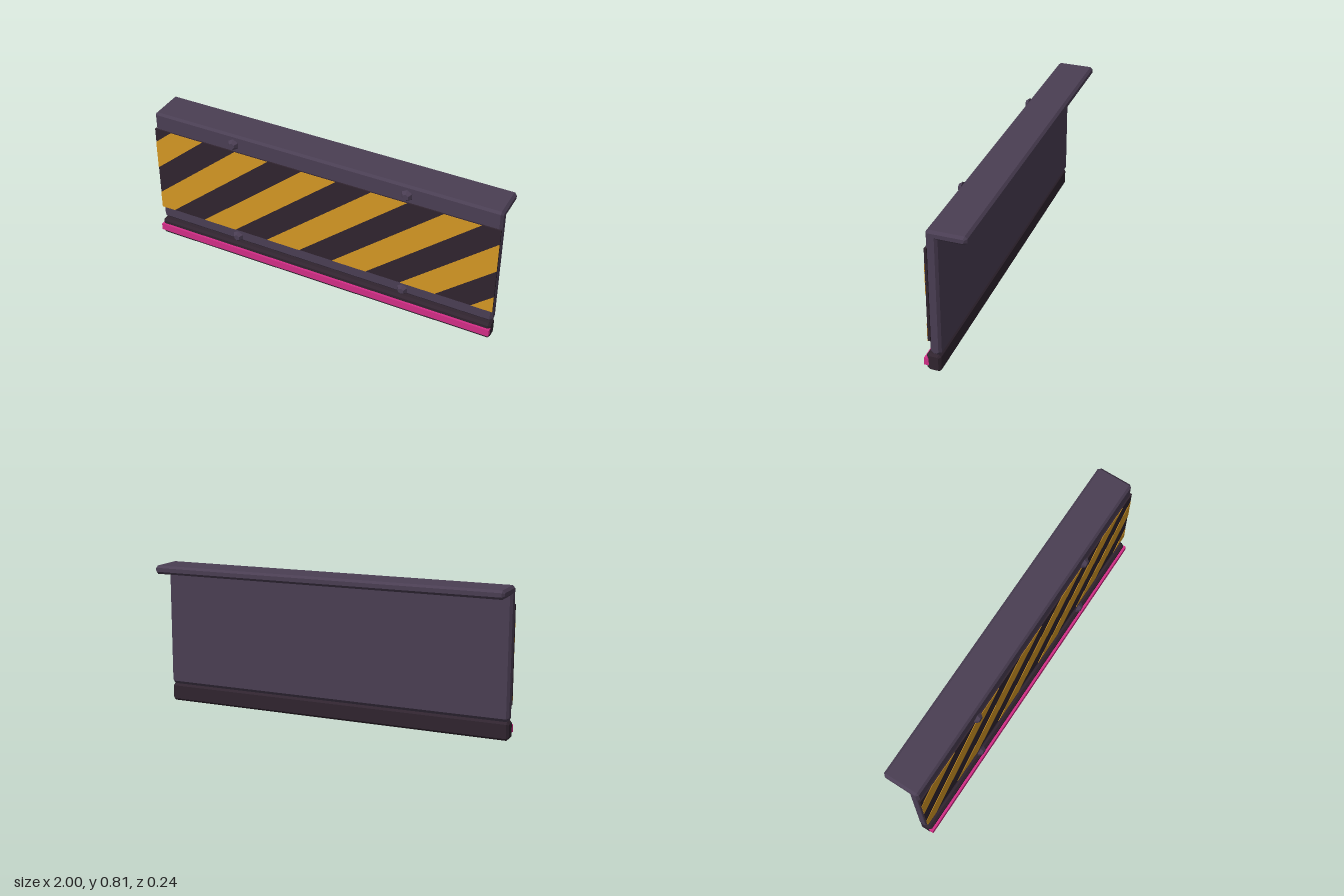
import * as THREE from 'three';

const material = (name, color) => {
  const m = new THREE.MeshStandardMaterial({ color });
  m.name = name;
  return m;
};

// Extrudes a (z, y) profile along x over the full width, with chamfered ends
function beam(name, profile, bevel, mat) {
  const shape = new THREE.Shape(profile.map(([z, y]) => new THREE.Vector2(-z, y)));
  const geo = new THREE.ExtrudeGeometry(shape, {
    depth: 2 - 2 * bevel, bevelEnabled: true, bevelSegments: 1,
    bevelSize: bevel, bevelThickness: bevel, bevelOffset: -bevel,
  });
  geo.translate(0, 0, bevel - 1).rotateY(Math.PI / 2);
  const mesh = new THREE.Mesh(geo, mat);
  mesh.name = name;
  return mesh;
}

function box(name, z0, z1, y0, y1, mat) {
  const mesh = new THREE.Mesh(new THREE.BoxGeometry(2, y1 - y0, z1 - z0), mat);
  mesh.position.set(0, (y0 + y1) / 2, (z0 + z1) / 2);
  mesh.name = name;
  return mesh;
}

// Keeps the part of a polygon where side * x <= 1
function clipX(points, side) {
  const out = [];
  points.forEach((a, i) => {
    const b = points[(i + 1) % points.length];
    const da = 1 - side * a.x, db = 1 - side * b.x;
    if (da >= 0) out.push(a);
    if (da * db < 0) out.push(a.clone().lerp(b, da / (da - db)));
  });
  return out;
}

export function createModel() {
  const steel = material('purple grey steel', 0x4a3e53);
  const dark = material('dark rubber', 0x30242f);
  const yellow = material('warning yellow', 0xd49724);
  const pink = material('pink light', 0xd32d87);
  const model = new THREE.Group();
  model.name = 'hazardBarrier';

  // Upright wall with a flange folded towards the back
  model.add(beam('wallAndFlange', [
    [0.072, 0.1], [0.087, 0.117], [0.087, 0.793], [0.075, 0.805],
    [-0.105, 0.805], [-0.118, 0.793], [-0.118, 0.771], [-0.105, 0.758],
    [0.029, 0.758], [0.029, 0.117], [0.044, 0.1],
  ], 0.013, steel));

  // Base rail with a light strip along the front
  model.add(beam('baseRail', [
    [0.095, 0], [0.107, 0.012], [0.107, 0.088], [0.095, 0.1],
    [0.045, 0.1], [0.033, 0.088], [0.033, 0.012], [0.045, 0],
  ], 0.012, dark));
  model.add(box('lightStrip', 0.094, 0.12, 0.031, 0.071, pink));

  // Sign panel with slanted warning stripes
  const bottom = 0.18, top = 0.706, lean = (top - bottom) / 0.85;
  model.add(box('signPanel', 0.082, 0.0945, bottom, top, dark));
  const stripes = new THREE.Group();
  stripes.name = 'warningStripes';
  for (let i = 0; i < 7; i++) {
    const x = -0.9 + i * 0.4;
    let points = [[x - lean, bottom], [x + 0.2 - lean, bottom], [x + 0.2, top], [x, top]]
      .map(p => new THREE.Vector2(...p));
    points = clipX(clipX(points, 1), -1);
    const geo = new THREE.ExtrudeGeometry(new THREE.Shape(points), { depth: 0.003, bevelEnabled: false });
    const stripe = new THREE.Mesh(geo, yellow);
    stripe.position.z = 0.0935;
    stripe.name = 'stripe';
    stripes.add(stripe);
  }
  model.add(stripes);

  // Tapered hexagonal bolts standing just off the wall
  const boltGeo = new THREE.CylinderGeometry(0.017, 0.033, 0.02, 6).toNonIndexed();
  boltGeo.rotateX(Math.PI / 2);
  boltGeo.computeVertexNormals();
  for (const x of [-0.5, 0.5]) {
    for (const y of [0.145, 0.757]) {
      const bolt = new THREE.Mesh(boltGeo, steel);
      bolt.position.set(x, y, 0.11);
      bolt.name = 'bolt';
      model.add(bolt);
    }
  }
  return model;
}
